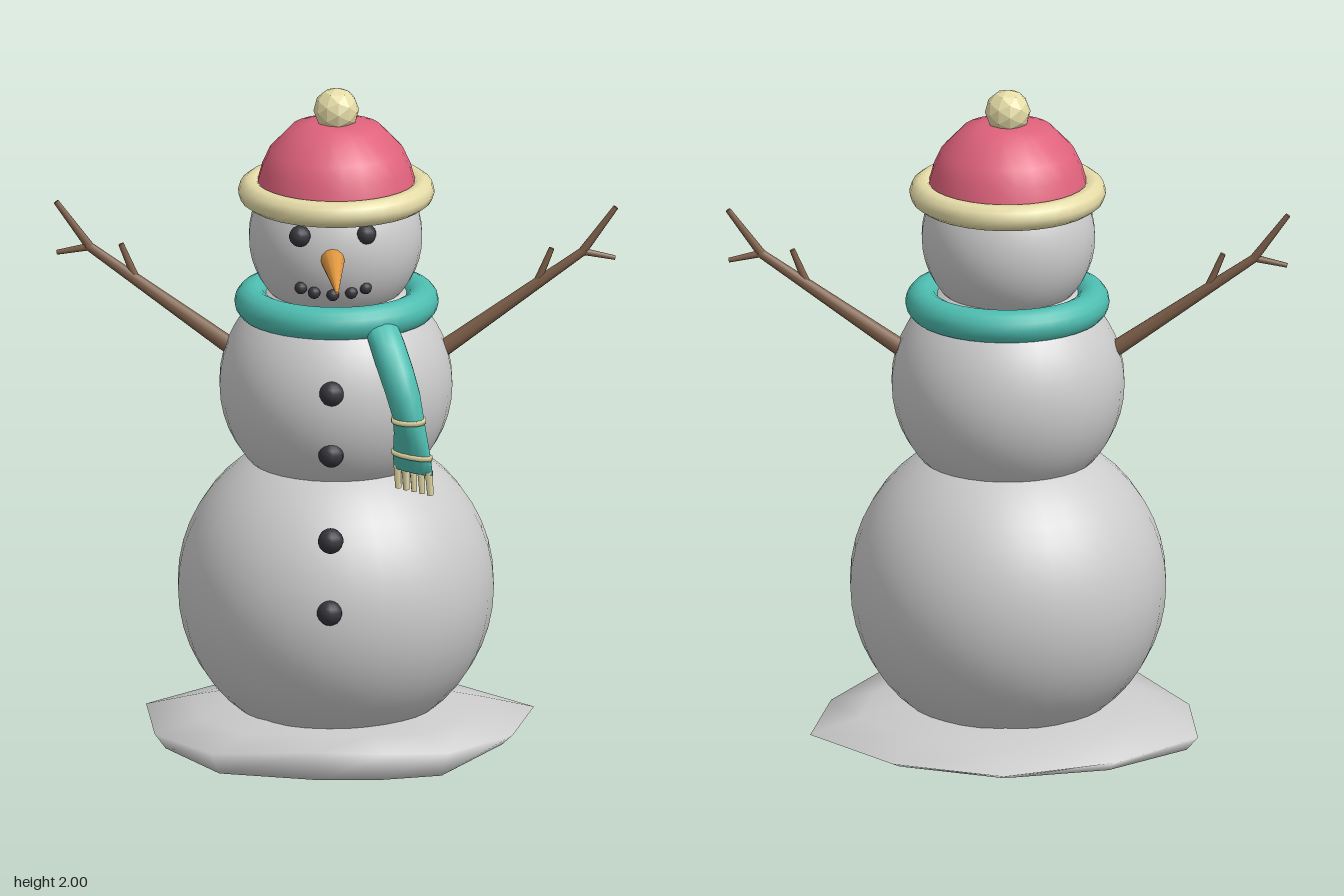
import * as THREE from 'three';

const material = (color, extra = {}) => new THREE.MeshStandardMaterial({ color, ...extra });
const V = (x, y, z) => new THREE.Vector3(x, y, z);

const snow = material(0xcccccc);
const coal = material(0x35353c);
const teal = material(0x4dbdb0);
const cream = material(0xe6dca8);
const creamFacet = material(0xe6dca8, { flatShading: true });
const red = material(0xdf627c);
const wood = material(0x7d5f49);
const orange = material(0xe09740);

function add(parent, name, geometry, mat, x = 0, y = 0, z = 0) {
  const mesh = new THREE.Mesh(geometry, mat);
  mesh.name = name;
  mesh.position.set(x, y, z);
  parent.add(mesh);
  return mesh;
}

// Tapered round stick from a to b
function stick(parent, name, a, b, r0, r1, mat, sides = 8) {
  const dir = b.clone().sub(a);
  const mesh = add(parent, name, new THREE.CylinderGeometry(r1, r0, dir.length(), sides), mat);
  mesh.position.copy(a).addScaledVector(dir, 0.5);
  mesh.quaternion.setFromUnitVectors(V(0, 1, 0), dir.normalize());
  return mesh;
}

// Smooth surface through closed rings of points, capped at both ends
function loft(rings) {
  const n = rings[0].length;
  const center = (ring) => ring.reduce((s, p) => s.add(p), V(0, 0, 0)).divideScalar(n);
  const points = [...rings.flat(), center(rings[0]), center(rings[rings.length - 1])];
  const index = [];
  const last = (rings.length - 1) * n;
  for (let j = 0; j < n; j++) {
    const k = (j + 1) % n;
    for (let i = 0; i < rings.length - 1; i++) {
      const a = i * n + j, b = i * n + k;
      index.push(a, a + n, b, b, a + n, b + n);
    }
    index.push(last + n, j, k, last + n + 1, last + k, last + j);
  }
  const g = new THREE.BufferGeometry().setFromPoints(points);
  g.setIndex(index);
  g.computeVertexNormals();
  return g;
}

// Irregular mound of snow; each rim corner is x, z, upper height, lower height
function moundGeometry() {
  const rim = [
    [0.065, -0.505, 0.095, 0.08], [-0.265, -0.43, 0.1, 0.07], [-0.527, -0.228, 0.1, 0.06],
    [-0.535, 0.077, 0.1, 0.055], [-0.4, 0.36, 0.12, 0.055], [-0.105, 0.445, 0.14, 0.05],
    [0.09, 0.48, 0.14, 0.055], [0.273, 0.455, 0.13, 0.055], [0.485, 0.215, 0.105, 0.075],
    [0.578, -0.08, 0.1, 0.085], [0.37, -0.357, 0.095, 0.08],
  ];
  const ring = (s, height) => rim.map((p) => V(p[0] * s, height(p), p[1] * s));
  return loft([
    ring(0.5, () => 0.175), ring(0.75, (p) => 0.09 + p[2] * 0.5), ring(1, (p) => p[2]),
    ring(0.94, (p) => p[3]), ring(0.5, () => 0.015), ring(0.25, () => 0.002),
  ]);
}

// Hanging scarf end: an oval section that flattens towards the hem
const tailU = V(1, 0, 1).normalize();
const tailV = V(1, 0, -1).normalize();
function tailRing(x, y, z, a, b) {
  return Array.from({ length: 14 }, (_, i) => {
    const t = (i / 14) * Math.PI * 2;
    return V(x, y, z).addScaledVector(tailU, a * Math.cos(t)).addScaledVector(tailV, b * Math.sin(t));
  });
}

function buildScarf() {
  const scarf = new THREE.Group();
  scarf.name = 'scarf';
  const wrap = add(scarf, 'scarfWrap', new THREE.TorusGeometry(0.245, 0.049, 14, 36), teal, -0.002, 1.364, 0.008);
  wrap.rotation.x = Math.PI / 2;
  wrap.scale.y = 0.975;
  const sections = [
    [0.095, 1.37, 0.225, 0.045, 0.05], [0.112, 1.32, 0.28, 0.054, 0.05],
    [0.133, 1.25, 0.322, 0.056, 0.05], [0.153, 1.18, 0.35, 0.053, 0.048],
    [0.168, 1.11, 0.36, 0.048, 0.042], [0.174, 1.06, 0.36, 0.055, 0.034],
    [0.178, 1.0, 0.36, 0.068, 0.024], [0.182, 0.95, 0.36, 0.073, 0.015],
  ];
  add(scarf, 'scarfTail', loft(sections.map((s) => tailRing(...s))), teal);
  // Cream stripes
  for (const [x, y, a, b] of [[0.168, 1.105, 0.054, 0.046], [0.178, 1.0, 0.073, 0.029]]) {
    add(scarf, 'scarfStripe', loft([tailRing(x, y + 0.007, 0.36, a, b), tailRing(x, y - 0.007, 0.36, a, b)]), cream);
  }
  // Fringe
  for (let i = 0; i < 5; i++) {
    const o = (i - 2) * 0.029;
    const top = V(0.182, 0.96, 0.36).addScaledVector(tailU, o);
    const end = V(0.185, 0.89, 0.36).addScaledVector(tailU, o * 1.02);
    stick(scarf, 'scarfFringe', top, end, 0.012, 0.009, cream, 6);
  }
  return scarf;
}

// Twig arm with a fork and a side shoot; z drifts along its length
function buildArm(name, side, z0, drift) {
  const arm = new THREE.Group();
  arm.name = name;
  const at = (x, y) => V(side * x, y, z0 + drift * (x - 0.3));
  stick(arm, 'branch', at(0.28, 1.205), at(0.71, 1.515), 0.026, 0.013, wood);
  stick(arm, 'upperTwig', at(0.7, 1.508), at(0.797, 1.642), 0.013, 0.008, wood);
  stick(arm, 'lowerTwig', at(0.7, 1.51), at(0.795, 1.49), 0.011, 0.007, wood);
  stick(arm, 'sideTwig', at(0.57, 1.415), at(0.613, 1.52), 0.012, 0.008, wood);
  return arm;
}

export function createModel() {
  const model = new THREE.Group();
  model.name = 'snowman';

  // Snow body
  add(model, 'snowMound', moundGeometry(), snow);
  add(model, 'lowerBall', new THREE.SphereGeometry(0.456, 32, 24), snow, -0.004, 0.515, 0.008);
  add(model, 'middleBall', new THREE.SphereGeometry(0.336, 32, 24), snow, -0.004, 1.12, 0.01);
  add(model, 'head', new THREE.SphereGeometry(0.25, 32, 24), snow, -0.005, 1.56, 0.01);

  // Coal face and buttons
  const face = new THREE.Group();
  face.name = 'face';
  model.add(face);
  const lump = (parent, name, r, x, y, z) => add(parent, name, new THREE.SphereGeometry(r, 12, 9), coal, x, y, z);
  for (const x of [-0.132, 0.058]) lump(face, 'eye', 0.031, x, 1.627, 0.23);
  const mouth = [[-0.127, 1.466, 0.212], [-0.09, 1.455, 0.226], [-0.037, 1.449, 0.235], [0.016, 1.455, 0.237], [0.058, 1.466, 0.232]];
  for (const p of mouth) lump(face, 'mouthCoal', 0.018, ...p);
  const buttons = [[-0.05, 1.18, 0.325], [-0.05, 0.993, 0.312], [-0.066, 0.775, 0.447], [-0.069, 0.56, 0.449]];
  for (const p of buttons) lump(model, 'button', 0.037, ...p);

  // Carrot nose
  stick(face, 'nose', V(-0.036, 1.563, 0.2), V(-0.053, 1.534, 0.5), 0.041, 0.004, orange, 12);

  // Knitted hat
  const hat = new THREE.Group();
  hat.name = 'hat';
  hat.position.set(-0.003, 0, 0.01);
  model.add(hat);
  const dome = [[0.24, 1.68], [0.226, 1.73], [0.215, 1.77], [0.192, 1.82], [0.13, 1.885], [0.07, 1.9], [0, 1.905]];
  add(hat, 'hatDome', new THREE.LatheGeometry(dome.map(([r, y]) => new THREE.Vector2(r, y)), 24), red);
  const brim = add(hat, 'hatBrim', new THREE.TorusGeometry(0.245, 0.038, 10, 32), cream, 0, 1.695, 0);
  brim.rotation.x = Math.PI / 2;
  add(hat, 'pompom', new THREE.IcosahedronGeometry(0.066, 1), creamFacet, 0, 1.936, 0);

  model.add(buildScarf());
  model.add(buildArm('leftArm', 1, 0.045, 0.085));
  model.add(buildArm('rightArm', -1, -0.043, -0.19));
  return model;
}
